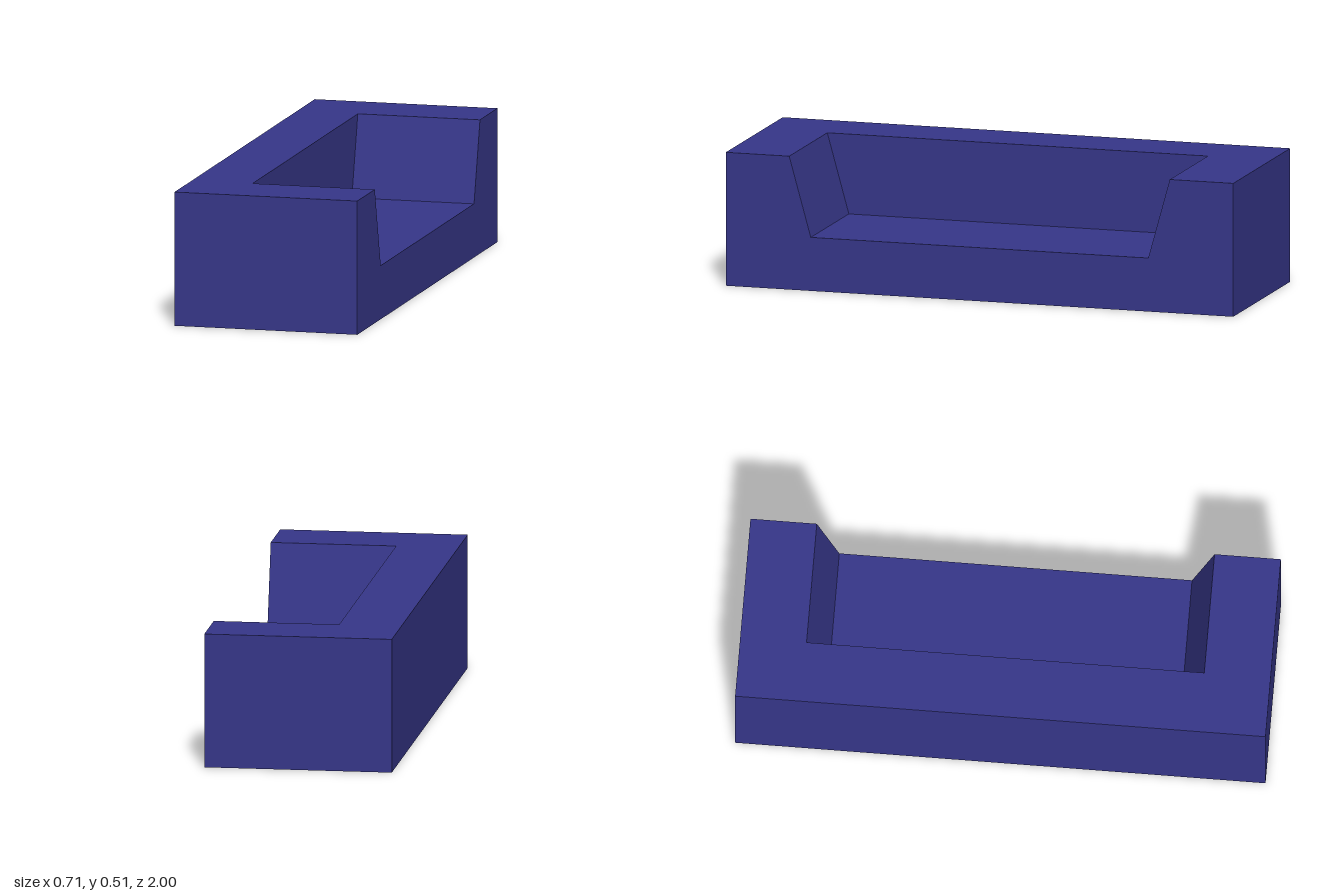
import * as THREE from 'three';

const W = 0.356, H = 0.511, L = 1;      // outer half width, height, half length
const SEAT = 0.205, INNER = -0.12;      // seat height, front plane of the backrest
const TOP = 0.75, BOT = 0.665;          // half length of the recess at its rim and at the seat

// Builds a flat-shaded mesh from convex four-cornered faces
function facesMesh(name, faces, material) {
  const points = faces.flatMap(([a, b, c, d]) => [a, b, c, a, c, d]);
  const geometry = new THREE.BufferGeometry();
  geometry.setAttribute('position', new THREE.Float32BufferAttribute(points.flat(), 3));
  geometry.computeVertexNormals();
  const mesh = new THREE.Mesh(geometry, material);
  mesh.name = name;
  return mesh;
}

// Mirrors faces to the other end, keeping them facing outwards
const mirrorZ = (faces) => faces.map((f) => f.map(([x, y, z]) => [x, y, -z]).reverse());

export function createModel() {
  const group = new THREE.Group();
  group.name = 'sofa';
  const upholstery = new THREE.MeshStandardMaterial({ color: 0x363688 });
  upholstery.name = 'indigo upholstery';

  // Seat, lower front panel and underside
  group.add(facesMesh('seatBase', [
    [[INNER, SEAT, BOT], [W, SEAT, BOT], [W, SEAT, -BOT], [INNER, SEAT, -BOT]],
    [[W, 0, L], [W, 0, -L], [W, SEAT, -BOT], [W, SEAT, BOT]],
    [[-W, 0, -L], [W, 0, -L], [W, 0, L], [-W, 0, L]],
  ], upholstery));

  // Backrest: outer face, top and inner face
  group.add(facesMesh('backrest', [
    [[-W, 0, -L], [-W, 0, L], [-W, H, L], [-W, H, -L]],
    [[-W, H, L], [INNER, H, L], [INNER, H, -L], [-W, H, -L]],
    [[INNER, SEAT, BOT], [INNER, SEAT, -BOT], [INNER, H, -TOP], [INNER, H, TOP]],
  ], upholstery));

  // Arms: end panel, top, sloped inner face and front panel
  const arm = [
    [[-W, 0, L], [W, 0, L], [W, H, L], [-W, H, L]],
    [[INNER, H, L], [W, H, L], [W, H, TOP], [INNER, H, TOP]],
    [[W, SEAT, BOT], [INNER, SEAT, BOT], [INNER, H, TOP], [W, H, TOP]],
    [[W, 0, L], [W, SEAT, BOT], [W, H, TOP], [W, H, L]],
  ];
  group.add(facesMesh('frontArm', arm, upholstery));
  group.add(facesMesh('rearArm', mirrorZ(arm), upholstery));

  return group;
}
